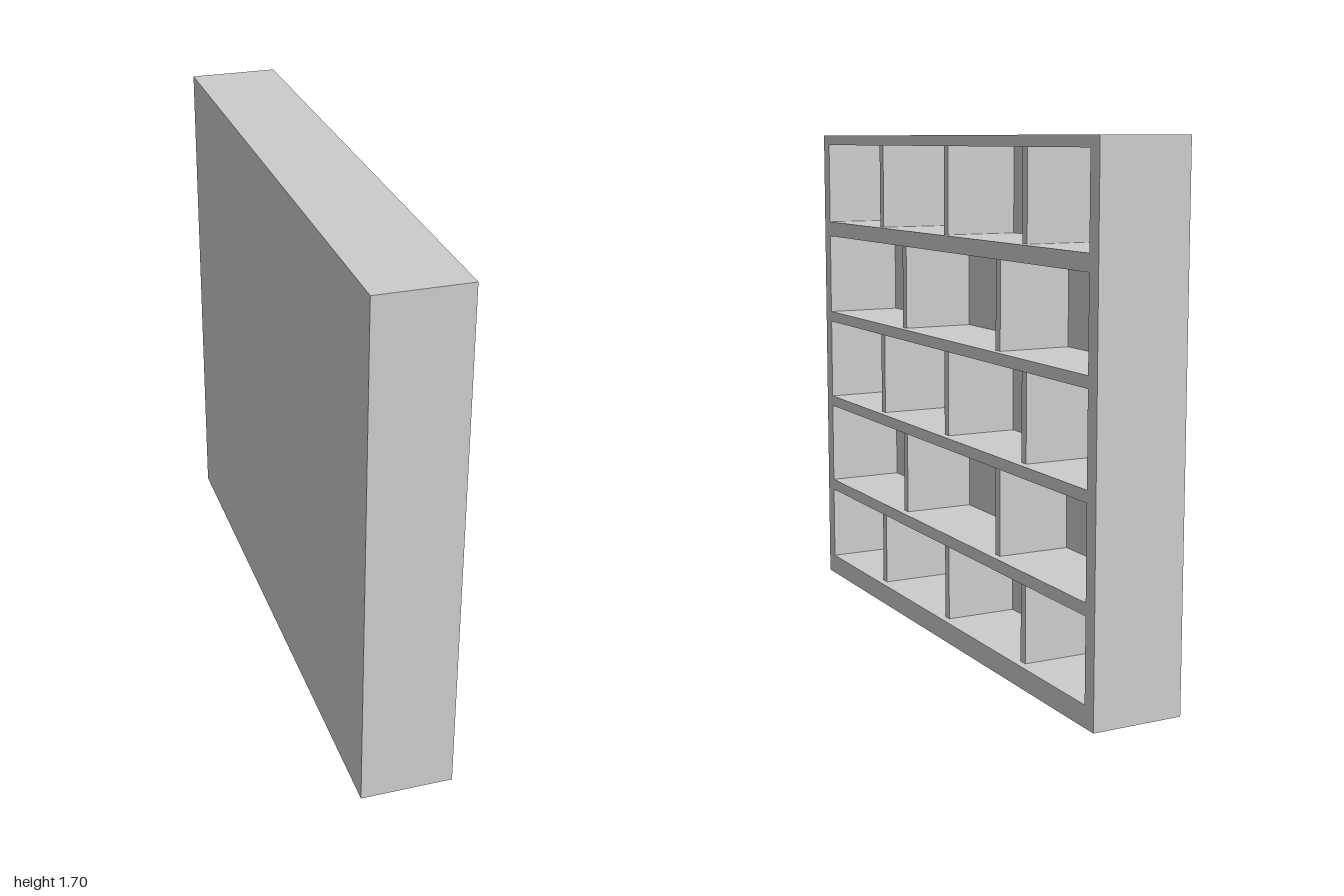
import * as THREE from 'three';

const HALF_DEPTH = 0.15, BACK = 0.03, HEIGHT = 1.7;
const INNER = 0.95;    // half width of the openings
const RECESS = 0.025;  // dividers sit behind the shelf edges
const THICK = 0.03;

const WIDE = [0.33, -0.365];
const NARROW = [0.52, 0, -0.535];
// Openings from bottom to top, with the z positions of their dividers
const ROWS = [
  { y0: 0.07, y1: 0.335, dividers: NARROW },
  { y0: 0.375, y1: 0.667, dividers: WIDE },
  { y0: 0.705, y1: 0.995, dividers: NARROW },
  { y0: 1.033, y1: 1.322, dividers: WIDE },
  { y0: 1.376, y1: 1.665, dividers: NARROW },
];

function rectangle(target, x0, y0, x1, y1) {
  target.moveTo(x0, y0);
  target.lineTo(x1, y0);
  target.lineTo(x1, y1);
  target.lineTo(x0, y1);
  target.closePath();
  return target;
}

export function createModel() {
  const group = new THREE.Group();
  group.name = 'shelfUnit';
  const material = new THREE.MeshStandardMaterial({ color: 0xcccccc });

  function add(name, geometry, x = 0, y = 0, z = 0) {
    const mesh = new THREE.Mesh(geometry, material);
    mesh.name = name;
    mesh.position.set(x, y, z);
    group.add(mesh);
  }

  // Outer frame and full-width shelves, open towards +x
  const outline = rectangle(new THREE.Shape(), -1, 0, 1, HEIGHT);
  for (const { y0, y1 } of ROWS) {
    outline.holes.push(rectangle(new THREE.Path(), -INNER, y0, INNER, y1));
  }
  const frame = new THREE.ExtrudeGeometry(outline, {
    depth: 2 * HALF_DEPTH - BACK, bevelEnabled: false,
  });
  frame.rotateY(Math.PI / 2);
  add('frameAndShelves', frame, -HALF_DEPTH + BACK);

  // Closed back
  add('backPanel', new THREE.BoxGeometry(BACK, HEIGHT, 2),
    -HALF_DEPTH + BACK / 2, HEIGHT / 2);

  // Staggered upright dividers
  const depth = 2 * HALF_DEPTH - BACK - RECESS;
  ROWS.forEach(({ y0, y1, dividers }, row) => {
    dividers.forEach((z, i) => {
      add(`divider${row + 1}_${i + 1}`, new THREE.BoxGeometry(depth, y1 - y0, THICK),
        HALF_DEPTH - RECESS - depth / 2, (y0 + y1) / 2, z);
    });
  });

  return group;
}
